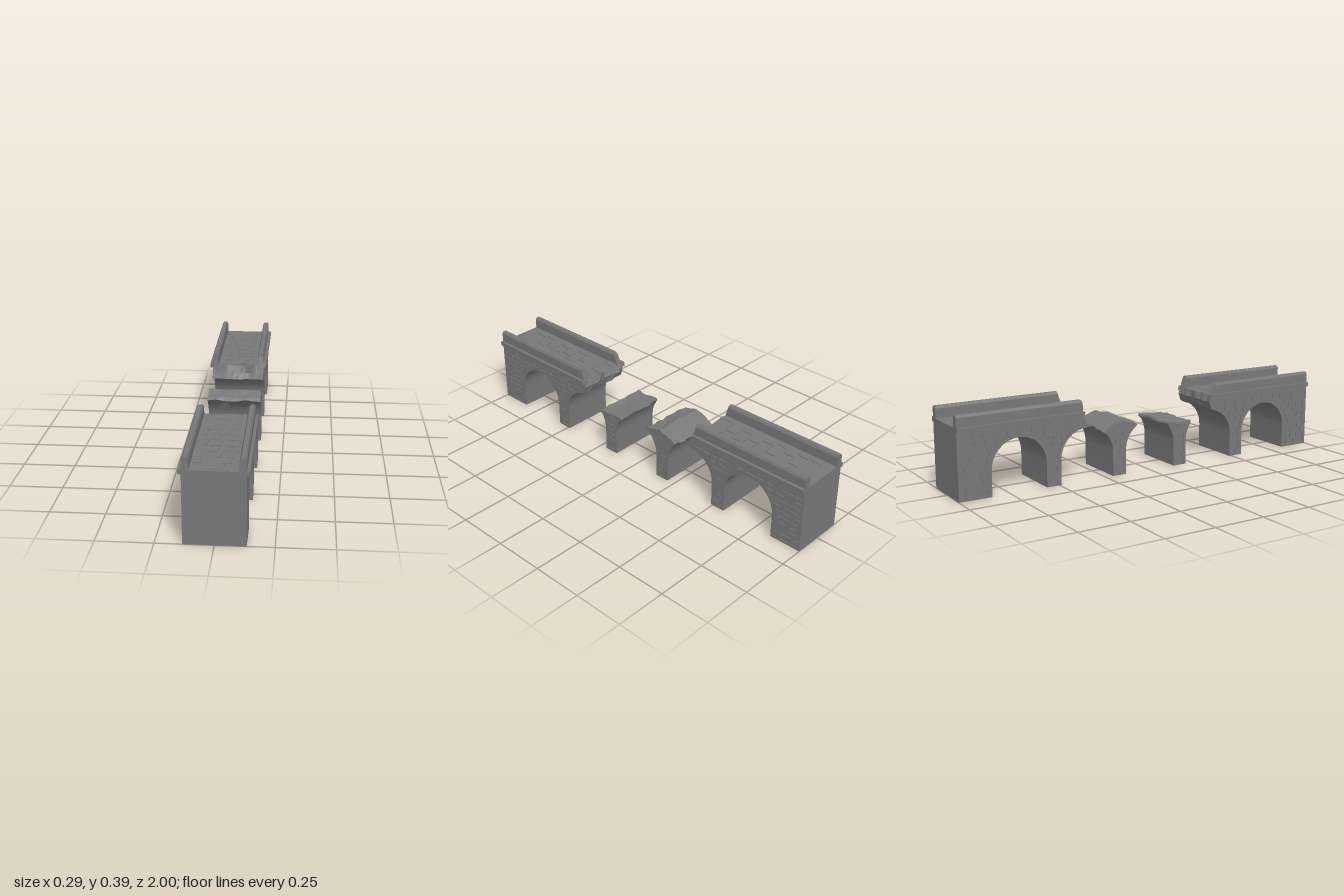
import * as THREE from 'three';
import { toCreasedNormals } from 'three/addons/utils/BufferGeometryUtils.js';

const HALF = 0.133, SKIN = 0.004, DECK = 0.333;
const R = 0.1375, SPRING = 0.12;

const stone = new THREE.MeshStandardMaterial({ color: 0x787878 });
stone.name = 'grey stone';

// seeded random numbers
let seed = 7;
const rand = () => {
  seed = (seed * 16807) % 2147483647;
  return seed / 2147483647;
};

// outline of the broken ends, top to bottom, as [z, y]
const breaks = {
  '1': [[0.388, 0.39], [0.367, 0.345], [0.352, 0.3], [0.366, 0.262]],
  '-1': [[-0.38, 0.39], [-0.37, 0.33], [-0.356, 0.29], [-0.34, 0.262]],
};
function breakZ(s, y) {
  const b = breaks[s];
  for (let i = 0; i < b.length - 1; i++) {
    const [z0, y0] = b[i], [z1, y1] = b[i + 1];
    if (y >= y1) return z0 + (z1 - z0) * (y0 - y) / (y0 - y1);
  }
  return b[b.length - 1][0];
}

const noise = (x, y, k) =>
  0.55 * Math.sin(38 * x + 45 * y + k) + 0.45 * Math.sin(87 * x - 70 * y + 2.3 * k);

// roughens the broken ends and the pier tops
function weather(geo) {
  const p = geo.attributes.position;
  for (let i = 0; i < p.count; i++) {
    const x = p.getX(i), y = p.getY(i), z = p.getZ(i), a = Math.abs(z);
    if (a > 0.3 && a < 0.395 && y > 0.255) {
      p.setZ(i, z + 0.009 * noise(x, y, z > 0 ? 1 : 3));
    } else if (a < 0.28 && y > 0.2) {
      p.setY(i, y + 0.005 * noise(x, z, 2));
      p.setZ(i, z + 0.006 * noise(x, y, z * 30));
    }
  }
  return geo;
}

function addMesh(group, name, geo) {
  const mesh = new THREE.Mesh(toCreasedNormals(weather(geo), 0.35), stone);
  mesh.name = name;
  group.add(mesh);
}

const toShape = pts => new THREE.Shape(pts.map(([a, b]) => new THREE.Vector2(a, b)));

// arch curve around centre z, angles in degrees
function arc(cz, a0, a1, n) {
  const pts = [];
  for (let i = 0; i <= n; i++) {
    const a = THREE.MathUtils.degToRad(a0 + (a1 - a0) * i / n);
    pts.push([cz + R * Math.cos(a), SPRING + R * Math.sin(a)]);
  }
  return pts;
}

function inside(pts, u, v) {
  let hit = false;
  for (let i = 0, j = pts.length - 1; i < pts.length; j = i++) {
    const [ui, vi] = pts[i], [uj, vj] = pts[j];
    if ((vi > v) !== (vj > v) && u < ui + (uj - ui) * (v - vi) / (vj - vi)) hit = !hit;
  }
  return hit;
}

function cellFits(pts, u0, u1, v0, v1) {
  const m = 0.006;
  for (let i = 0; i <= 4; i++) for (let j = 0; j <= 4; j++) {
    const u = u0 - m + (u1 - u0 + 2 * m) * i / 4;
    const v = v0 - m + (v1 - v0 + 2 * m) * j / 4;
    if (!inside(pts, u, v)) return false;
  }
  return true;
}

// cuts L-shaped mortar joints, laid in courses, into a flat outline
function jointed(pts, len, h, w) {
  const shape = toShape(pts);
  const us = pts.map(p => p[0]), vs = pts.map(p => p[1]);
  const uMin = Math.min(...us), uMax = Math.max(...us), vMax = Math.max(...vs);
  const joint = (u0, u1, v0, v1) => {
    if (!cellFits(pts, u0, u1, v0, v1)) return false;
    const t = () => (rand() - 0.5) * 0.0025;
    shape.holes.push(toShape([
      [u0, v0 + t()], [u1, v0 + t()], [u1 + t(), v1], [u1 - w + t(), v1],
      [u1 - w, v0 + w + t()], [u0, v0 + w + t()],
    ]));
    return true;
  };
  let row = 0;
  for (let v = Math.min(...vs) + 0.012; v < vMax; v += h, row++) {
    let u = uMin - len * (row % 2 ? 0.5 : 0.1);
    while (u < uMax) {
      const l = len * (0.7 + 0.6 * rand());
      const start = u + l * 0.3 * rand();
      const end = u + l - 0.005, top = v + h - 0.005;
      if (rand() < 0.88 && !joint(start, end, v, top)) {
        const mid = (start + end) / 2;
        joint(start, mid - 0.003, v, top) || joint(mid + 0.003, end, v, top);
      }
      u += l;
    }
  }
  return shape;
}

// extrudes a z-y outline across x, from x0 to x0 + width
function across(shape, x0, width, steps) {
  const geo = new THREE.ExtrudeGeometry(shape, { depth: width, steps, bevelEnabled: false });
  return geo.rotateY(-Math.PI / 2).translate(x0 + width, 0, 0);
}

// solid core with a jointed stone facing on both sides
function masonry(group, name, pts) {
  const inner = HALF - SKIN;
  addMesh(group, name + 'Core', across(toShape(pts), -inner, 2 * inner, 14));
  addMesh(group, name + 'LeftFacing', across(jointed(pts, 0.058, 0.029, 0.006), inner, SKIN, 1));
  addMesh(group, name + 'RightFacing', across(jointed(pts, 0.058, 0.029, 0.006), -HALF, SKIN, 1));
}

// one standing end of the bridge
function bridgeEnd(s) {
  const group = new THREE.Group();
  group.name = s > 0 ? 'frontSpan' : 'backSpan';
  const top = DECK - SKIN;
  const flip = pts => pts.map(([z, y]) => [z * s, y]);
  const tip = Math.abs(breaks[s][3][0]);
  const tipAngle = THREE.MathUtils.radToDeg(Math.acos(Math.min(1, (tip + 0.012 - 0.3525) / R)));
  masonry(group, 'wall', [
    ...flip([[1, 0], [1, top]]),
    [breakZ(s, top), top],
    ...breaks[s].filter(b => b[1] < top - 0.005),
    ...flip(arc(0.3525, tipAngle, 0, 8)),
    ...flip([[0.49, 0], [0.565, 0]]),
    ...flip(arc(0.7025, 180, 0, 16)),
    ...flip([[0.84, 0]]),
  ]);

  // paved deck with a ragged edge
  const edge = breakZ(s, DECK), deck = [[-0.106, -s], [0.106, -s]];
  for (let i = 0; i <= 10; i++) deck.push([0.106 - 0.0212 * i, -edge]);
  const paving = new THREE.ExtrudeGeometry(jointed(deck, 0.075, 0.062, 0.007),
    { depth: SKIN, bevelEnabled: false });
  addMesh(group, 'paving', paving.rotateX(-Math.PI / 2).translate(0, top, 0));

  // parapets and ledges, their inner ends following the break
  const sections = {
    Parapet: [[0.103, 0.305], [0.133, 0.305], [0.133, 0.379], [0.127, 0.39], [0.109, 0.39], [0.103, 0.379]],
    Ledge: [[0.12, 0.315], [0.147, 0.315], [0.147, 0.336], [0.12, 0.336]],
  };
  for (const side of [1, -1]) for (const [part, pts] of Object.entries(sections)) {
    const geo = new THREE.ExtrudeGeometry(toShape(pts.map(([x, y]) => [x * side, y])),
      { depth: 0.64, bevelEnabled: false });
    geo.translate(0, 0, s > 0 ? 0.36 : -1);
    const p = geo.attributes.position;
    for (let i = 0; i < p.count; i++) {
      if (Math.abs(p.getZ(i)) < 0.5) p.setZ(i, breakZ(s, p.getY(i)));
    }
    addMesh(group, (side > 0 ? 'left' : 'right') + part, geo);
  }
  return group;
}

// a lone pier with the stubs of its two arches
function brokenPier(name, z0, z1, a0, a1, crown) {
  const group = new THREE.Group();
  group.name = name;
  masonry(group, 'pier', [
    [z0, 0], [z1, 0],
    ...arc(z1 + R, 180, a1, 6),
    ...crown,
    ...arc(z0 - R, a0, 0, 6),
  ]);
  return group;
}

export function createModel() {
  const model = new THREE.Group();
  model.name = 'ruinedBridge';
  model.add(
    bridgeEnd(1),
    bridgeEnd(-1),
    brokenPier('frontPier', 0.14, 0.212, 42, 140,
      [[0.24, 0.217], [0.2, 0.212], [0.15, 0.219], [0.108, 0.222]]),
    brokenPier('backPier', -0.21, -0.138, 50, 120,
      [[-0.085, 0.251], [-0.12, 0.255], [-0.155, 0.267], [-0.2, 0.255], [-0.235, 0.238]]),
  );
  return model;
}
